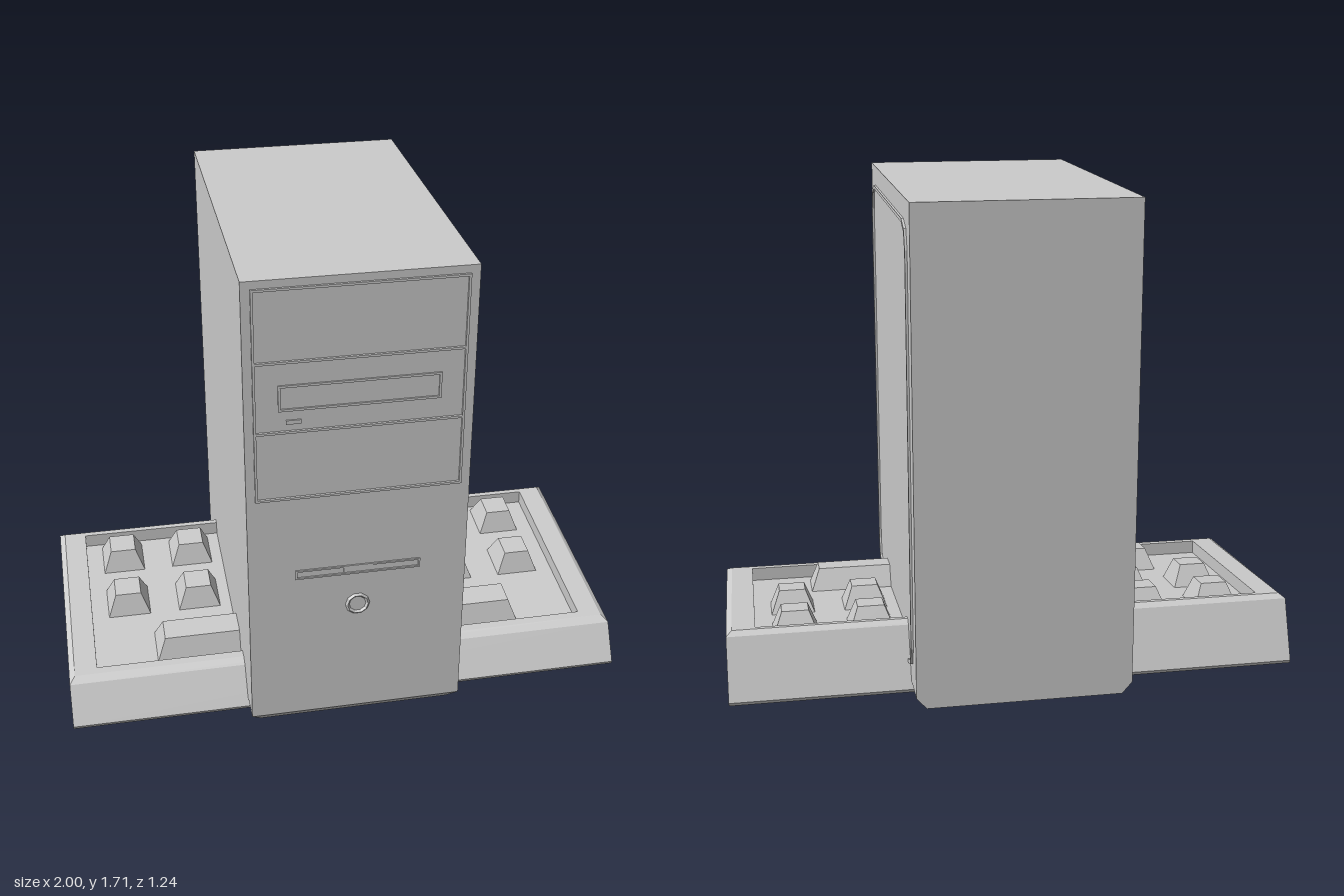
import * as THREE from 'three';

const material = new THREE.MeshStandardMaterial({ color: 0xcccccc, flatShading: true });

function mesh(name, geometry, x = 0, y = 0, z = 0) {
  const m = new THREE.Mesh(geometry, material);
  m.name = name;
  m.position.set(x, y, z);
  return m;
}

// Closed solid through rectangular loops: [halfWidth, zFront, zBack, yFront, yBack]
function loft(loops) {
  const rings = loops.map(([w, zf, zb, yf, yb = yf]) => [[-w, yf, zf], [w, yf, zf], [w, yb, zb], [-w, yb, zb]]);
  const pos = [];
  const quad = (a, b, c, d) => pos.push(...a, ...b, ...c, ...a, ...c, ...d);
  for (let k = 0; k < rings.length - 1; k++) {
    for (let i = 0; i < 4; i++) {
      const j = (i + 1) % 4;
      quad(rings[k][i], rings[k][j], rings[k + 1][j], rings[k + 1][i]);
    }
  }
  const top = rings[rings.length - 1];
  quad(...top);
  quad(...[...rings[0]].reverse());
  const g = new THREE.BufferGeometry();
  g.setAttribute('position', new THREE.Float32BufferAttribute(pos, 3));
  g.computeVertexNormals();
  return g;
}

// Rectangle whose corners are cut in two straight steps (cut = 0 gives a plain one)
function outline(w, h, cut, PathType = THREE.Shape) {
  const x = w / 2, y = h / 2, s = cut * 0.27;
  const corner = cut ? [[x, y - cut], [x - s, y - s], [x - cut, y]] : [[x, y]];
  const flipped = [...corner].reverse();
  const pts = [
    ...corner,
    ...flipped.map(([a, b]) => [-a, b]),
    ...corner.map(([a, b]) => [-a, -b]),
    ...flipped.map(([a, b]) => [a, -b]),
  ];
  return new PathType(pts.map(([a, b]) => new THREE.Vector2(a, b)));
}

// Thin raised rim
function rim(w, h, line, depth, cut = 0) {
  const shape = outline(w, h, cut);
  shape.holes.push(outline(w - 2 * line, h - 2 * line, cut * 0.95, THREE.Path));
  return new THREE.ExtrudeGeometry(shape, { depth, bevelEnabled: false });
}

function createTower() {
  const tower = new THREE.Group();
  tower.name = 'computerTower';
  const front = 0.61;
  tower.add(mesh('case', loft([
    [0.34, 0.575, -0.62, 0],
    [0.375, front, -0.62, 0.04],
    [0.375, front, -0.62, 1.71],
  ])));

  // Rim of the side cover
  const cover = mesh('sideCoverRim', rim(1.1, 1.54, 0.012, 0.008, 0.09), 0.375, 0.87, 0);
  cover.rotation.y = Math.PI / 2;
  tower.add(cover);

  // Three stacked drive bays
  for (let i = 0; i < 3; i++) {
    tower.add(mesh('driveBayRim', rim(0.69, 0.256, 0.008, 0.008), 0, 1.555 - i * 0.248, front));
  }

  // Disc tray with its eject button
  tower.add(mesh('discTrayRim', rim(0.53, 0.092, 0.008, 0.005), 0, 1.304, front));
  tower.add(mesh('ejectButton', new THREE.BoxGeometry(0.05, 0.014, 0.01), -0.215, 1.218, front));

  // Lower disk slot with finger notch
  tower.add(mesh('diskSlotRim', rim(0.43, 0.035, 0.006, 0.005), 0, 0.628, front));
  tower.add(mesh('diskSlotNotch', new THREE.BoxGeometry(0.1, 0.025, 0.006), 0, 0.632, front));

  // Power button
  const ring = mesh('powerButtonRing', new THREE.TorusGeometry(0.036, 0.007, 4, 10), 0, 0.483, front);
  tower.add(ring);
  return tower;
}

function createKeyboard() {
  const keyboard = new THREE.Group();
  keyboard.name = 'keyboard';
  const deckY = (z) => 0.155 + (0.41 - z) * 0.1;
  const depth = 0.05;

  // Wedge body with a sunken key tray
  keyboard.add(mesh('keyboardBody', loft([
    [1, 0.51, -0.485, 0],
    [1, 0.515, -0.49, 0.012],
    [1, 0.44, -0.41, 0.14, 0.22],
    [0.98, 0.41, -0.39, deckY(0.41), deckY(-0.39)],
    [0.9, 0.38, -0.37, deckY(0.38), deckY(-0.37)],
    [0.9, 0.38, -0.37, deckY(0.38) - depth, deckY(-0.37) - depth],
  ])));

  // Tapered keys standing on the tray
  function addKey(name, x, z, width) {
    const w = width / 2;
    const key = mesh(name, loft([
      [w, 0.08, -0.08, -0.005],
      [w - 0.033, 0.047, -0.047, 0.08],
    ]), x, deckY(z) - depth, z);
    key.rotation.x = Math.atan(0.1);
    keyboard.add(key);
  }
  for (const z of [-0.27, -0.012]) {
    for (const x of [-0.76, -0.495, 0.495, 0.76]) addKey('key', x, z, 0.16);
  }
  addKey('spaceBar', 0, 0.252, 1.36);
  return keyboard;
}

export function createModel() {
  const model = new THREE.Group();
  model.name = 'desktopComputer';
  model.add(createTower(), createKeyboard());
  return model;
}
